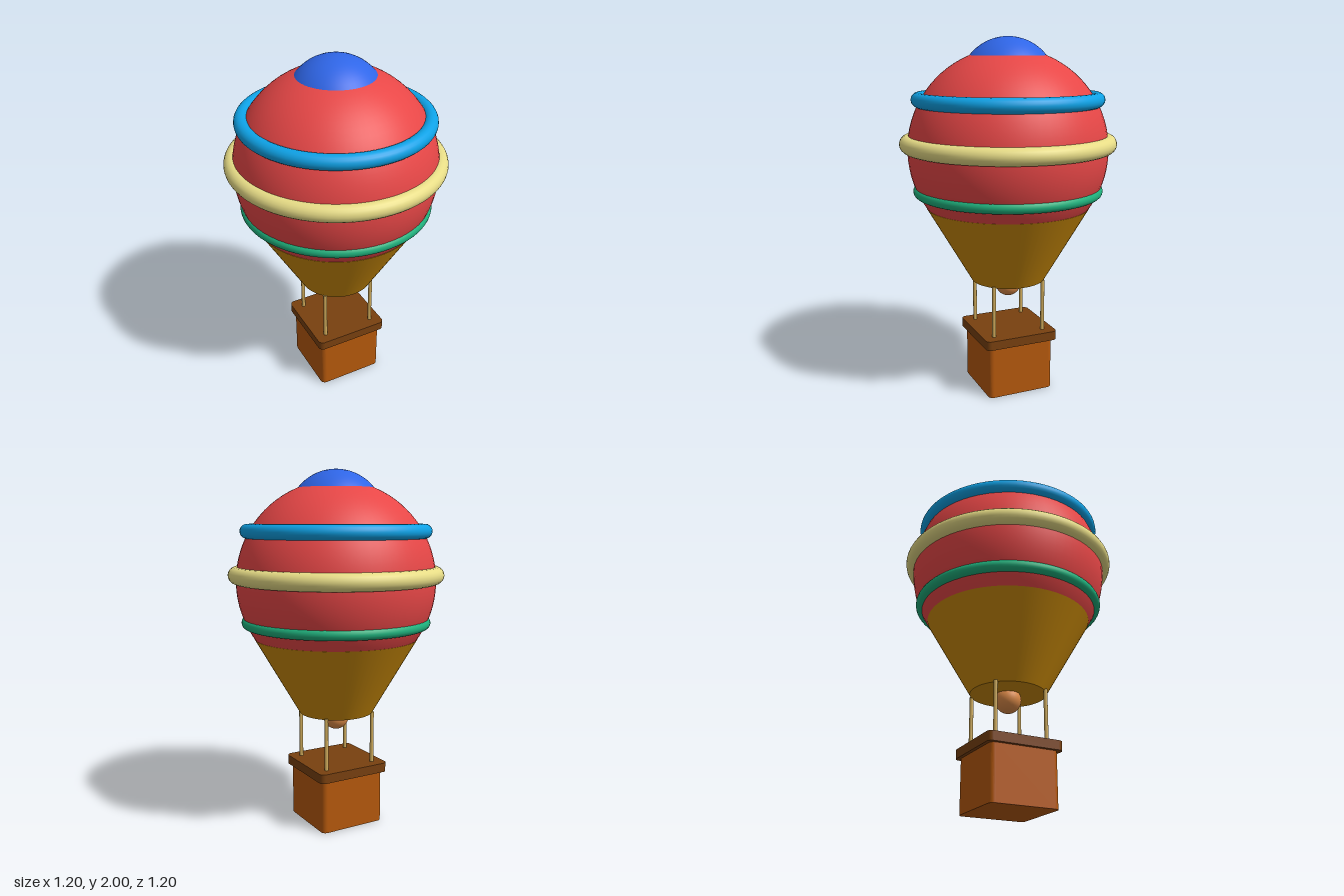
import * as THREE from 'three';

const material = (name, color) => {
  const m = new THREE.MeshStandardMaterial({ color });
  m.name = name;
  return m;
};

// Upright block with rounded vertical corners, standing on y
function roundedBlock(half, height, radius) {
  const s = new THREE.Shape();
  const c = half - radius;
  s.absarc(c, c, radius, 0, Math.PI / 2);
  s.absarc(-c, c, radius, Math.PI / 2, Math.PI);
  s.absarc(-c, -c, radius, Math.PI, Math.PI * 1.5);
  s.absarc(c, -c, radius, Math.PI * 1.5, Math.PI * 2);
  s.closePath();
  return new THREE.ExtrudeGeometry(s, { depth: height, bevelEnabled: false, curveSegments: 8 })
    .rotateX(-Math.PI / 2);
}

export function createModel() {
  const group = new THREE.Group();
  group.name = 'hotAirBalloon';

  const red = material('envelope red', 0xe84747);
  const royal = material('crown blue', 0x2f66e8);
  const sky = material('sky blue', 0x0ea2e6);
  const cream = material('pale yellow', 0xeadf88);
  const green = material('green', 0x1fb07c);
  const ochre = material('ochre', 0xca8a08);
  const wicker = material('basket brown', 0xb4580c);
  const darkWood = material('rim brown', 0x78400f);
  const ropeTan = material('rope tan', 0xd0ac5c);
  const copper = material('burner copper', 0xdc8a48);

  const add = (name, geometry, mat, x, y, z) => {
    const mesh = new THREE.Mesh(geometry, mat);
    mesh.name = name;
    mesh.position.set(x, y, z);
    group.add(mesh);
    return mesh;
  };

  // Envelope, crown and skirt
  add('envelope', new THREE.SphereGeometry(0.556, 64, 40), red, 0, 1.385, 0);
  add('crown', new THREE.SphereGeometry(0.27, 48, 32), royal, 0, 1.73, 0);
  add('skirt', new THREE.CylinderGeometry(0.46, 0.21, 0.43, 64), ochre, 0, 0.855, 0);

  // Bands around the envelope: name, ring radius, tube radius, height
  for (const [name, radius, tube, y, mat] of [
    ['upperBand', 0.49, 0.04, 1.665, sky],
    ['middleBand', 0.553, 0.047, 1.427, cream],
    ['lowerBand', 0.499, 0.031, 1.163, green],
  ]) {
    add(name, new THREE.TorusGeometry(radius, tube, 20, 80).rotateX(Math.PI / 2), mat, 0, y, 0);
  }

  // Burner and basket
  add('burner', new THREE.SphereGeometry(0.073, 32, 20), copper, 0, 0.607, 0);
  add('basket', roundedBlock(0.195, 0.3, 0.028), wicker, 0, 0, 0);
  add('basketRim', roundedBlock(0.216, 0.052, 0.03), darkWood, 0, 0.3, 0);

  // Ropes at the four corners
  for (const x of [-0.15, 0.15]) {
    for (const z of [-0.15, 0.15]) {
      add('rope', new THREE.CylinderGeometry(0.011, 0.011, 0.3, 16), ropeTan, x, 0.498, z);
    }
  }

  return group;
}
